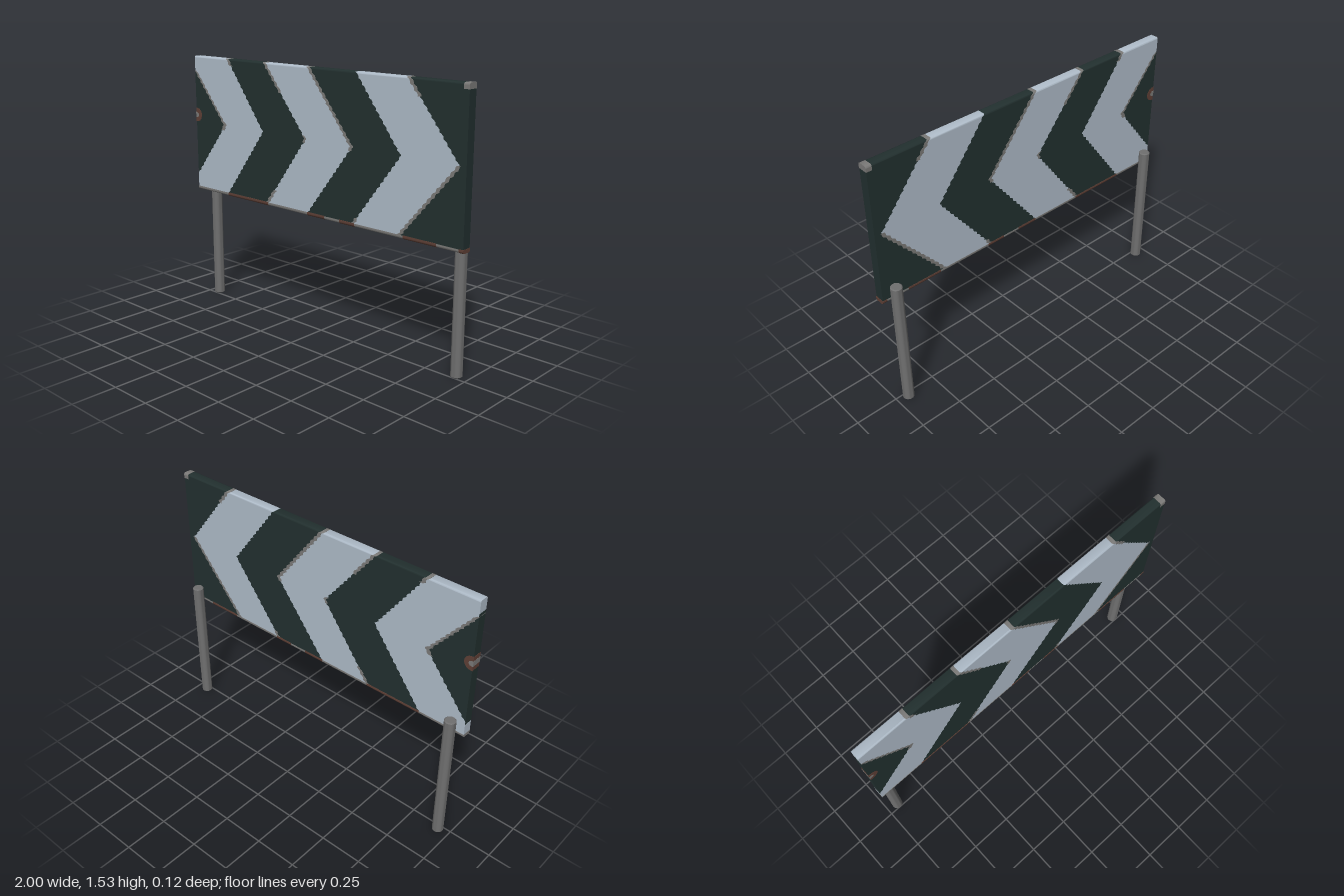
import * as THREE from 'three';
import { toCreasedNormals } from 'three/addons/utils/BufferGeometryUtils.js';

const mat = (name, color) => new THREE.MeshStandardMaterial({ name, color });

// Panel dimensions
const LO = 0.7, HI = 1.53, MID_Z = 0.0325, HALF = 0.0275, ROUND = 0.008, TIP_Y = 1.13;

// Half thickness of the panel at a height, with rounded long edges
function halfThickness(y) {
  const d = Math.max(0, Math.min(y - LO, HI - y));
  return d < ROUND ? HALF - ROUND + Math.sqrt(ROUND ** 2 - (ROUND - d) ** 2) : HALF;
}

// Heights sampled between two limits, including the rounded edges and chevron tips
function heights(lo, hi) {
  const ys = [lo, hi, LO + 0.0012, LO + 0.004, LO + ROUND, HI - ROUND, HI - 0.004, HI - 0.0012, TIP_Y];
  for (let i = 1; i < 80; i++) ys.push(LO + (HI - LO) * i / 80);
  return [...new Set(ys)].filter(y => y >= lo && y <= hi).sort((a, b) => a - b);
}

// A slab wrapping front, back and edges between two x curves, grown outwards by `out`
function slab(lo, hi, left, right, out = 0) {
  const ys = heights(lo, hi), pos = [];
  const rows = ys.map(y => ({
    y: y === LO ? y - out : y === HI ? y + out : y,
    h: halfThickness(y) + out, l: left(y), r: Math.max(left(y), right(y)),
  }));
  const quad = (a, b, c, d) => pos.push(...a, ...b, ...c, ...a, ...c, ...d);
  const pt = (row, side, s) => [row[side], row.y, MID_Z + s * row.h];
  for (let i = 0; i + 1 < rows.length; i++) {
    const a = rows[i], b = rows[i + 1];
    if (a.r - a.l < 1e-4 && b.r - b.l < 1e-4) continue;
    quad(pt(a, 'l', 1), pt(a, 'r', 1), pt(b, 'r', 1), pt(b, 'l', 1));
    quad(pt(a, 'r', -1), pt(a, 'l', -1), pt(b, 'l', -1), pt(b, 'r', -1));
    quad(pt(a, 'r', 1), pt(a, 'r', -1), pt(b, 'r', -1), pt(b, 'r', 1));
    quad(pt(a, 'l', -1), pt(a, 'l', 1), pt(b, 'l', 1), pt(b, 'l', -1));
  }
  const t = rows[rows.length - 1], b = rows[0];
  quad(pt(t, 'l', 1), pt(t, 'r', 1), pt(t, 'r', -1), pt(t, 'l', -1));
  quad(pt(b, 'l', -1), pt(b, 'r', -1), pt(b, 'r', 1), pt(b, 'l', 1));
  const geo = new THREE.BufferGeometry();
  geo.setAttribute('position', new THREE.Float32BufferAttribute(pos, 3));
  return toCreasedNormals(geo, 0.7);
}

export function createModel() {
  const white = mat('palePaint', 0xafbcc9), dark = mat('darkPaint', 0x22302f);
  const metal = mat('postMetal', 0x707070), worn = mat('wornMetal', 0x7b7a78);
  const rust = mat('rust', 0x5f4036);
  const model = new THREE.Group();
  model.name = 'chevronBarrier';
  const add = (name, geo, material) => {
    const mesh = new THREE.Mesh(geo, material);
    mesh.name = name;
    model.add(mesh);
    return mesh;
  };
  const flat = x => () => x;

  // Paint boundaries: x at top, tip and bottom, with a ragged edge
  const edges = [[-1.07, -0.735, -1.08], [-0.70, -0.405, -0.73], [-0.385, -0.065, -0.385],
    [-0.04, 0.275, -0.06], [0.30, 0.605, 0.275], [0.645, 0.96, 0.59]].map(([top, tip, bottom]) => y => {
    const x = y > TIP_Y ? tip + (top - tip) * (y - TIP_Y) / (HI - TIP_Y)
      : tip + (bottom - tip) * (TIP_Y - y) / (TIP_Y - LO);
    return Math.max(-1, x + 0.006 * Math.sin(y * 200));
  });

  // Alternating chevron stripes through the whole panel
  const bounds = [flat(-1), ...edges, flat(1)];
  for (let i = 0; i < 7; i++) {
    add('chevronStripe' + (i + 1), slab(LO, HI, bounds[i], bounds[i + 1]), i % 2 ? white : dark);
  }

  // Worn paint along some stripe edges: edge, from height, to height, width
  [[0, 1.13, 1.44, 0.018], [0, 1.10, 1.15, 0.026], [1, 1.49, HI, 0.022], [2, 1.37, HI, 0.02],
    [2, LO, 0.8, 0.022], [2, 1.11, 1.15, 0.016], [3, 1.11, HI, 0.022], [4, LO, 0.75, 0.02],
    [5, 1.44, HI, 0.022], [5, LO, 1.13, 0.022]].forEach(([e, lo, hi, w]) => {
    add('wornEdge', slab(lo, hi, y => Math.max(-1, edges[e](y) - w / 2),
      y => edges[e](y) + w / 2, 0.001), worn);
  });

  // Bare corner and scuffed bottom edge with rust patches
  add('bareCorner', slab(1.5, HI, flat(0.968), flat(1.001), 0.0015), worn);
  add('scuffedBottom', slab(LO, 0.717, flat(-1.001), flat(1.001), 0.0015), worn);
  [[-0.72, -0.37], [-0.05, 0.08], [0.19, 0.3], [0.63, 0.84], [0.975, 1.002]].forEach(([l, r]) => {
    add('rustPatch', slab(LO, 0.719, flat(l), flat(r), 0.0025), rust);
  });

  // Rust spot with a bare centre, wrapping the right edge
  const spot = (name, r, out, material) => add(name, slab(1.17 - r, 1.17 + r, flat(-1 - out),
    y => -0.992 + Math.sqrt(Math.max(0, r * r - (y - 1.17) ** 2)), out), material);
  spot('rustSpot', 0.042, 0.0015, rust);
  spot('bareSpot', 0.016, 0.0025, worn);

  // Round posts behind the panel
  const profile = [[0, 0], [0.027, 0], [0.032, 0.005], [0.032, 0.795], [0.027, 0.8], [0, 0.8]]
    .map(([x, y]) => new THREE.Vector2(x, y));
  const postGeo = toCreasedNormals(new THREE.LatheGeometry(profile, 24), 0.6);
  for (const s of [1, -1]) {
    add(s > 0 ? 'leftPost' : 'rightPost', postGeo, metal).position.set(s * 0.932, 0, -0.027);
  }
  return model;
}
